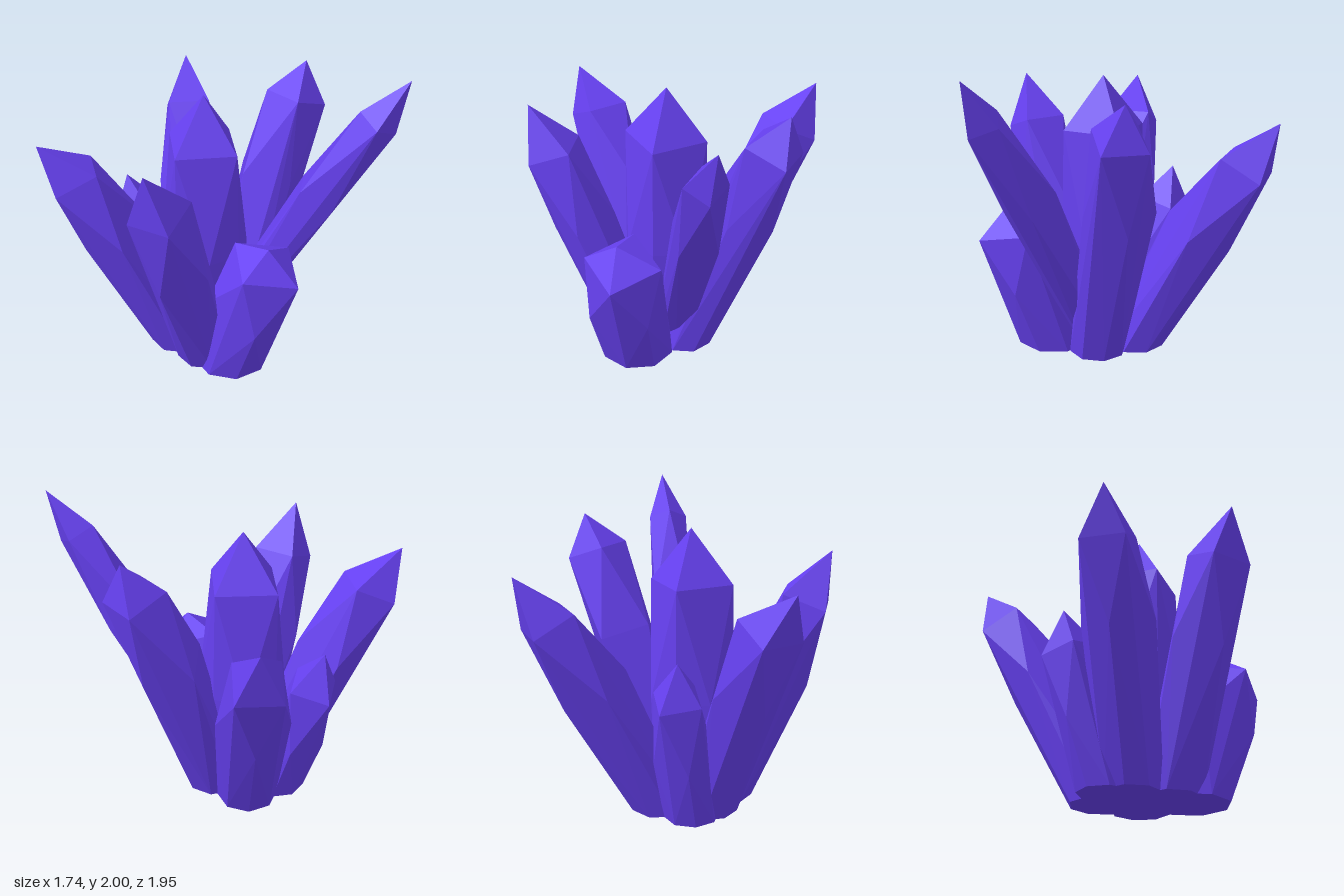
import * as THREE from 'three';
import { ConvexGeometry } from 'three/addons/geometries/ConvexGeometry.js';

// foot: x, z, radius on the ground; belly and shoulder: x, y, z, radius; tip: x, y, z
// turn: rotation of the four shoulder corners about the axis
const EDGE_DOWN = Math.PI / 4;
const CORNER_DOWN = 0;
const CRYSTALS = [
  { name: 'centreCrystal', foot: [-0.03, -0.11, 0.26], belly: [-0.03, 0.75, -0.11, 0.285], bellySides: 8,
    shoulder: [-0.035, 1.49, -0.115, 0.275], tip: [-0.03, 1.83, -0.11], turn: CORNER_DOWN },
  { name: 'frontCrystal', foot: [-0.14, 0.2, 0.25], belly: [-0.15, 0.5, 0.35, 0.28],
    shoulder: [-0.135, 0.86, 0.47, 0.255], tip: [-0.16, 1, 0.5], turn: CORNER_DOWN },
  { name: 'frontLeftCrystal', foot: [0.04, -0.05, 0.13], belly: [0.35, 1.18, 0.52, 0.17],
    shoulder: [0.49, 1.72, 0.83, 0.13], tip: [0.59, 2, 0.975], turn: CORNER_DOWN },
  { name: 'leftCrystal', foot: [0.14, -0.01, 0.19], belly: [0.51, 1.08, 0, 0.23],
    shoulder: [0.71, 1.605, 0.09, 0.2], tip: [0.8, 1.84, 0.1], turn: EDGE_DOWN },
  { name: 'backLeftCrystal', foot: [0.12, -0.29, 0.2], belly: [0.43, 0.87, -0.59, 0.23],
    shoulder: [0.635, 1.34, -0.79, 0.2], tip: [0.78, 1.63, -0.92], turn: EDGE_DOWN },
  { name: 'backCrystal', foot: [-0.12, -0.36, 0.18], belly: [-0.12, 0.45, -0.5, 0.19],
    shoulder: [-0.125, 0.88, -0.62, 0.18], tip: [-0.15, 1.13, -0.68], turn: -0.3 },
  { name: 'backRightCrystal', foot: [-0.19, -0.22, 0.19], belly: [-0.5, 0.92, -0.46, 0.23],
    shoulder: [-0.69, 1.37, -0.62, 0.2], tip: [-0.87, 1.62, -0.73], turn: EDGE_DOWN },
  { name: 'rightCrystal', foot: [-0.21, 0.03, 0.19], belly: [-0.54, 0.88, 0.08, 0.22],
    shoulder: [-0.72, 1.39, 0.11, 0.2], tip: [-0.87, 1.7, 0.13], turn: EDGE_DOWN },
];

// Corners of a regular polygon around a centre, spanned by two directions
function ring([x, y, z, radius], across, along, sides, turn) {
  return Array.from({ length: sides }, (_, i) => {
    const a = turn + (i * 2 * Math.PI) / sides;
    return new THREE.Vector3(x, y, z)
      .addScaledVector(across, radius * Math.cos(a))
      .addScaledVector(along, radius * Math.sin(a));
  });
}

// Faceted spike: round foot on the ground, belly twisted half a step against
// the four-cornered shoulder, both square to the leaning axis, and a pointed tip
function crystalGeometry({ foot, belly, bellySides = 4, shoulder, tip, turn }) {
  const [footX, footZ, footRadius] = foot;
  const axis = new THREE.Vector3(shoulder[0] - footX, shoulder[1], shoulder[2] - footZ).normalize();
  const across = new THREE.Vector3(axis.z, 0, -axis.x);
  if (across.length() < 0.02) across.set(1, 0, 0);
  across.normalize();
  const along = new THREE.Vector3().crossVectors(axis, across);
  const flatAlong = along.clone().setY(0).normalize();

  return new ConvexGeometry([
    ...ring([footX, 0, footZ, footRadius], across, flatAlong, 8, turn),
    ...ring(belly, across, along, bellySides, turn + Math.PI / 4),
    ...ring(shoulder, across, along, 4, turn),
    new THREE.Vector3(...tip),
  ]);
}

export function createModel() {
  const group = new THREE.Group();
  group.name = 'crystalCluster';
  const material = new THREE.MeshStandardMaterial({ color: 0x6640f0, flatShading: true });
  for (const crystal of CRYSTALS) {
    const mesh = new THREE.Mesh(crystalGeometry(crystal), material);
    mesh.name = crystal.name;
    group.add(mesh);
  }
  return group;
}
